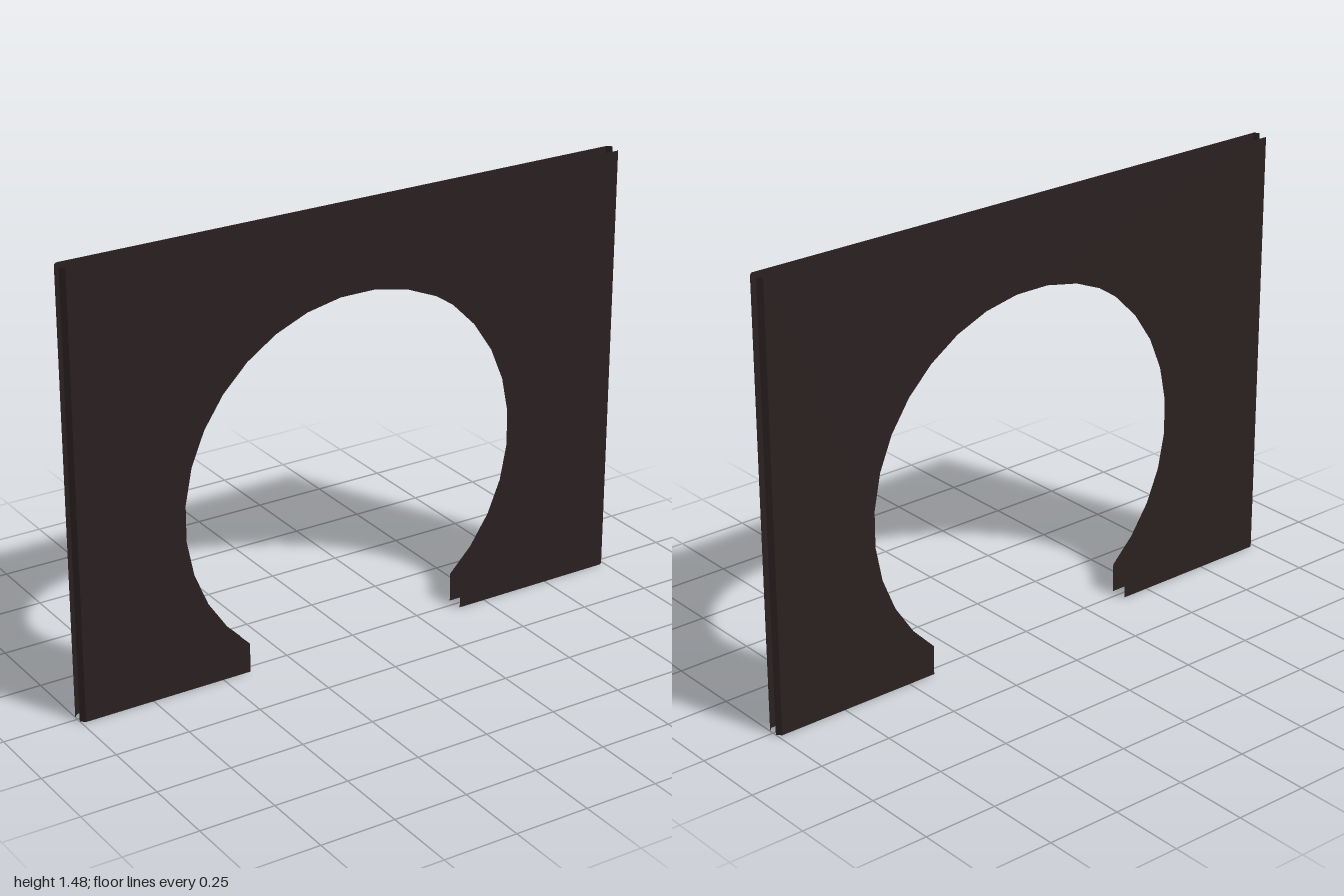
import * as THREE from 'three';

const HEIGHT = 1.476, HALF = 1, BEVEL = 0.014;
const FACE_Z = 0.029, EDGE_Z = 0.015;

// Flat face outline: a rectangle with a round opening above a straight doorway
function faceShape() {
  const x = HALF - BEVEL, jamb = 0.402, r = 0.622, cy = 0.575;
  const s = new THREE.Shape();
  s.moveTo(x, 0);
  s.lineTo(x, HEIGHT);
  s.lineTo(-x, HEIGHT);
  s.lineTo(-x, 0);
  s.lineTo(-jamb, 0);
  s.lineTo(-jamb, 0.1);
  // 32-sided circle, open at the bottom
  const step = Math.PI / 16;
  for (let i = -11.5; i <= 11.5; i++) {
    s.lineTo(r * Math.sin(i * step), cy + r * Math.cos(i * step));
  }
  s.lineTo(jamb, 0.1);
  s.lineTo(jamb, 0);
  return s;
}

// Slanted strip along one upright side of a panel
function bevelGeometry(side) {
  const g = new THREE.PlaneGeometry(BEVEL, HEIGHT);
  const p = g.attributes.position;
  for (let i = 0; i < p.count; i++) {
    const outer = p.getX(i) * side > 0;
    p.setXYZ(i, side * (outer ? HALF : HALF - BEVEL), p.getY(i) + HEIGHT / 2, outer ? EDGE_Z : FACE_Z);
  }
  g.computeVertexNormals();
  return g;
}

export function createModel() {
  const model = new THREE.Group();
  model.name = 'archWall';
  const darkBrown = new THREE.MeshStandardMaterial({ color: 0x2b2121, side: THREE.DoubleSide });
  darkBrown.name = 'darkBrown';

  // Two thin panels, back to back with a small gap
  for (const name of ['frontPanel', 'backPanel']) {
    const panel = new THREE.Group();
    panel.name = name;

    const face = new THREE.Mesh(new THREE.ShapeGeometry(faceShape()), darkBrown);
    face.name = 'archedFace';
    face.position.z = FACE_Z;
    panel.add(face);

    for (const side of [1, -1]) {
      const bevel = new THREE.Mesh(bevelGeometry(side), darkBrown);
      bevel.name = side > 0 ? 'leftBevel' : 'rightBevel';
      panel.add(bevel);
    }

    if (name === 'backPanel') panel.rotation.y = Math.PI;
    model.add(panel);
  }
  return model;
}
